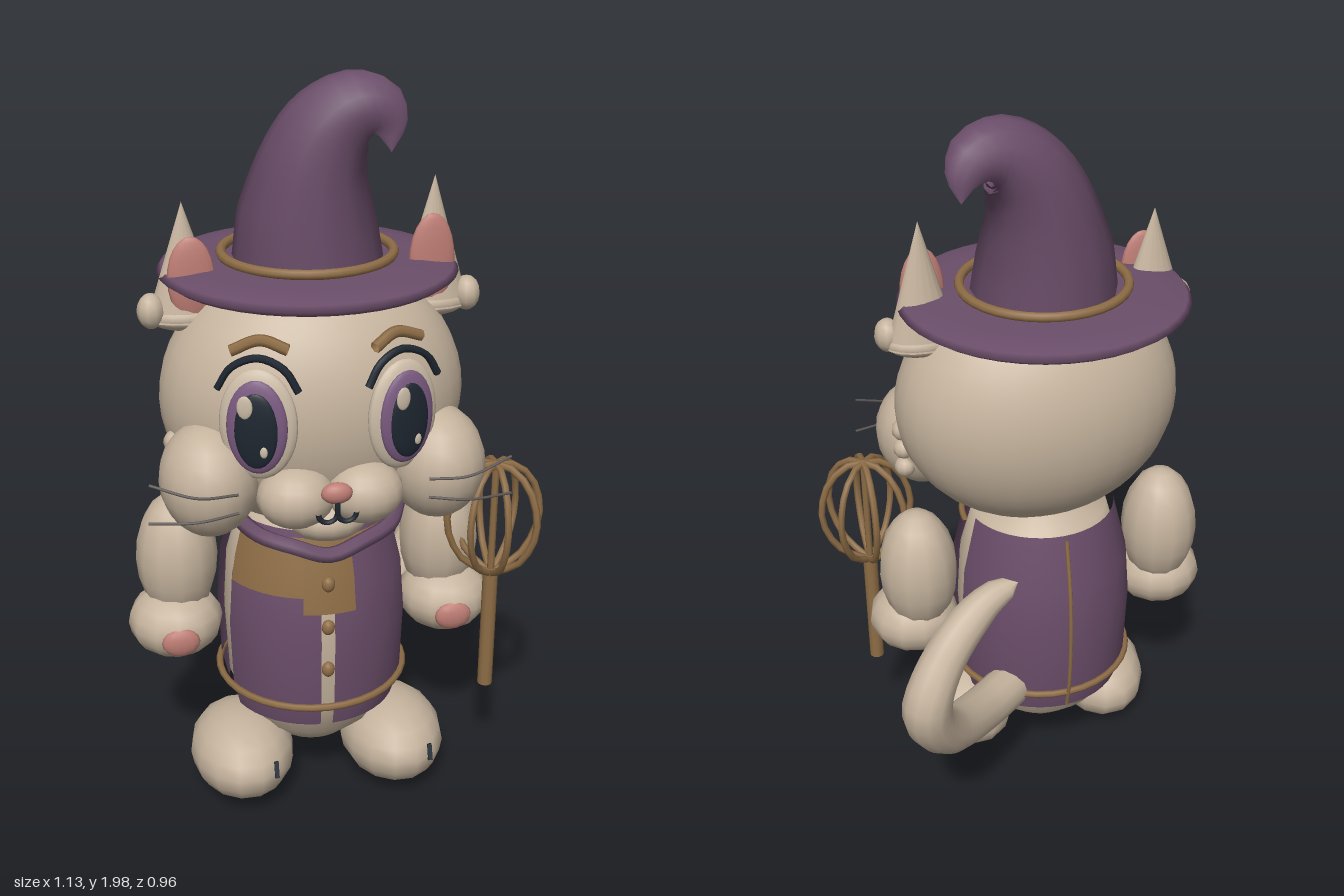
import * as THREE from 'three';

const mat = (name, color, side = THREE.FrontSide) => {
  const m = new THREE.MeshStandardMaterial({ color, side });
  m.name = name;
  return m;
};

export function createModel() {
  const fur = mat('fur beige', 0xc6b49e);
  const purple = mat('cloth purple', 0x6b4e6a, THREE.DoubleSide);
  const brown = mat('trim brown', 0x8e6d46, THREE.DoubleSide);
  const pink = mat('skin pink', 0xbd7d74);
  const dark = mat('dark ink', 0x1e2630);
  const iris = mat('iris violet', 0x7a5a80);
  const cream = mat('eye cream', 0xcdbda8);
  const grey = mat('whisker grey', 0x5c5552);

  const root = new THREE.Group();
  root.name = 'catWizard';
  const model = new THREE.Group();
  model.name = 'figure';
  model.position.x = -0.055;
  root.add(model);

  const add = (name, geo, material, pos = [0, 0, 0], parent = model) => {
    const m = new THREE.Mesh(geo, material);
    m.name = name;
    m.position.set(...pos);
    parent.add(m);
    return m;
  };
  const blob = (name, material, pos, size, parent = model, w = 16, h = 12) =>
    add(name, new THREE.SphereGeometry(1, w, h).scale(...size), material, pos, parent);
  const curve = pts => new THREE.CatmullRomCurve3(pts.map(p => new THREE.Vector3(...p)));
  const tube = (name, material, pts, r, parent = model, n = 16) =>
    add(name, new THREE.TubeGeometry(curve(pts), n, r, 6), material, [0, 0, 0], parent);
  const lathe = (name, material, prof, start = 0, len = Math.PI * 2, seg = 28, pos = [0, 0, 0.1]) =>
    add(name, new THREE.LatheGeometry(prof.map(p => new THREE.Vector2(...p)), seg, start, len), material, pos);

  // Tube whose radius follows [fraction, radius] stops
  const taperTube = (name, material, pts, stops, n, sides) => {
    const c = curve(pts);
    const geo = new THREE.TubeGeometry(c, n, 1, sides);
    const p = geo.attributes.position;
    const v = new THREE.Vector3();
    for (let i = 0; i <= n; i++) {
      const t = i / n;
      const k = Math.max(1, stops.findIndex(s => s[0] >= t - 1e-9));
      const [a, b] = [stops[k - 1], stops[k]];
      const r = THREE.MathUtils.lerp(a[1], b[1], (t - a[0]) / (b[0] - a[0]));
      const o = c.getPointAt(t);
      for (let j = 0; j <= sides; j++) {
        const q = i * (sides + 1) + j;
        v.fromBufferAttribute(p, q).sub(o).multiplyScalar(r).add(o);
        p.setXYZ(q, v.x, v.y, v.z);
      }
    }
    return add(name, geo, material);
  };

  // Head and muzzle
  blob('head', fur, [0, 1.19, 0.125], [0.4, 0.36, 0.29], model, 32, 24);
  blob('chin', fur, [0, 0.925, 0.33], [0.11, 0.065, 0.1]);
  blob('nose', pink, [0, 1.045, 0.465], [0.04, 0.028, 0.022]);
  tube('mouthLine', dark, [[0, 1.03, 0.474], [0, 1.01, 0.478], [0, 0.99, 0.476]], 0.007, model, 4);

  // Torso, open vest and trim
  const body = [[0.001, 0.12], [0.11, 0.145], [0.19, 0.22], [0.235, 0.34], [0.245, 0.55], [0.235, 0.7], [0.19, 0.86], [0.001, 0.93]];
  lathe('torso', fur, body);
  const vest = [[0.238, 0.28], [0.257, 0.36], [0.264, 0.55], [0.253, 0.7], [0.212, 0.865]];
  lathe('vestBack', purple, vest, 1.8, Math.PI * 2 - 3.6, 18);
  lathe('vestFrontLeft', purple, vest, 0.07, 1.1, 8);
  lathe('vestFrontRight', purple, vest, -1.17, 1.1, 8);
  lathe('bibSide', brown, [[0.262, 0.69], [0.25, 0.76], [0.225, 0.85]], -1.12, 0.87, 6);
  lathe('bibFront', brown, [[0.27, 0.645], [0.258, 0.74], [0.23, 0.85]], -0.25, 0.53, 6);
  add('belt', new THREE.TorusGeometry(0.262, 0.01, 6, 36).rotateX(Math.PI / 2), brown, [0, 0.35, 0.1]);
  const neckTrim = add('neckTrim', new THREE.TorusGeometry(0.225, 0.009, 6, 20, 1.3), brown, [0, 0.84, 0.1]);
  neckTrim.rotation.x = Math.PI / 2;
  tube('backSeam', brown, [[0, 0.86, -0.135], [0, 0.7, -0.17], [0, 0.55, -0.181], [0, 0.38, -0.172], [0, 0.3, -0.155]], 0.006);
  tube('collar', purple, [[-0.23, 0.88, 0.18], [-0.17, 0.865, 0.31], [-0.09, 0.85, 0.36], [0, 0.825, 0.375],
    [0.09, 0.85, 0.36], [0.17, 0.865, 0.31], [0.23, 0.88, 0.18]], 0.022, model, 28);
  for (const y of [0.73, 0.6, 0.47]) blob('button', brown, [0, y, 0.36], [0.018, 0.022, 0.015], model, 10, 8);

  // Mirrored parts
  for (const s of [1, -1]) {
    const side = s > 0 ? 'left' : 'right';
    blob(side + 'Cheek', fur, [s * 0.295, 1.035, 0.295], [0.128, 0.15, 0.148], model, 18, 12);
    blob(side + 'Muzzle', fur, [s * 0.088, 1.005, 0.38], [0.1, 0.082, 0.09]);
    add(side + 'Mouth', new THREE.TorusGeometry(0.024, 0.007, 6, 12, Math.PI).rotateZ(Math.PI), dark, [s * 0.024, 0.995, 0.474]);
    [1.1, 1.045, 0.99].forEach((y, i) =>
      blob(side + 'CheekTuft', fur, [s * 0.37, y, 0.2 - i * 0.006], [0.03, 0.03, 0.032], model, 10, 8));
    tube(side + 'WhiskerUpper', grey, [[s * 0.24, 1.05, 0.44], [s * 0.34, 1.055, 0.452], [s * 0.455, 1.09, 0.43]], 0.004);
    tube(side + 'WhiskerLower', grey, [[s * 0.24, 1.0, 0.44], [s * 0.34, 0.99, 0.452], [s * 0.46, 0.987, 0.43]], 0.004);

    // Eye, lash and brow
    const eye = new THREE.Group();
    eye.name = side + 'Eye';
    eye.position.set(s * 0.18, 1.21, 0.388);
    eye.rotation.y = s * 0.33;
    model.add(eye);
    blob('eyeWhite', cream, [0, 0, 0], [0.098, 0.145, 0.03], eye, 24, 16);
    blob('iris', iris, [0, 0, 0.02], [0.076, 0.122, 0.02], eye, 24, 16);
    blob('pupil', dark, [0, -0.005, 0.033], [0.054, 0.098, 0.013], eye, 24, 16);
    blob('glint', cream, [-0.025, 0.06, 0.043], [0.02, 0.03, 0.005], eye, 12, 8);
    blob('smallGlint', cream, [0.02, -0.055, 0.043], [0.01, 0.015, 0.004], eye, 10, 8);
    tube('lash', dark, [[-0.1, 0.09, 0.002], [-0.065, 0.145, 0.0], [0, 0.17, -0.005], [0.065, 0.145, 0.0], [0.1, 0.09, 0.002]], 0.01, eye);
    tube('brow', brown, [[-0.07, 0.18, -0.02], [0, 0.205, -0.035], [0.07, 0.185, -0.03]], 0.015, eye);

    // Ear with pink lining and tuft
    const h = s > 0 ? 0.34 : 0.3;
    add(side + 'Ear', new THREE.ConeGeometry(0.098, h, 16).scale(1, 1, 0.62), fur, [s * 0.322, 1.4 + h / 2, 0.11]);
    blob(side + 'EarBase', fur, [s * 0.322, 1.41, 0.11], [0.098, 0.04, 0.061]);
    blob(side + 'EarLining', pink, [s * 0.308, 1.4 + h * 0.38, 0.152], [0.06, h * 0.36, 0.018]);
    blob(side + 'EarTuft', fur, [s * 0.41, 1.43, 0.13], [0.036, 0.046, 0.04], model, 10, 8);

    // Arm, paw and foot
    blob(side + 'Arm', fur, [s * 0.37, 0.71, 0.085], [0.112, 0.19, 0.115], model, 12, 10);
    blob(side + 'Hand', fur, [s * 0.383, 0.53, 0.115], [0.13, 0.1, 0.13], model, 12, 10);
    blob(side + 'PawPad', pink, [s * 0.38, 0.52, 0.232], [0.052, 0.042, 0.02], model, 14, 8);
    const foot = blob(side + 'Foot', fur, [s * 0.217, 0.133, 0.19], [0.146, 0.122, 0.205], model, 14, 10);
    foot.rotation.x = -0.1;
    const toe = add(side + 'ToeMark', new THREE.BoxGeometry(0.012, 0.045, 0.012), dark, [s * 0.217 + 0.073, 0.163, 0.361]);
    toe.rotation.x = -0.4;
  }

  // Hat
  lathe('hatBrim', purple, [[0.001, 1.48], [0.25, 1.478], [0.365, 1.492], [0.388, 1.508], [0.375, 1.523], [0.3, 1.534], [0.15, 1.538]],
    0, Math.PI * 2, 40, [0, 0, 0.07]);
  taperTube('hatCone', purple, [[0, 1.5, 0.07], [0, 1.65, 0.07], [0.02, 1.78, 0.07], [0.06, 1.86, 0.07], [0.12, 1.905, 0.07],
    [0.18, 1.9, 0.065], [0.212, 1.86, 0.06], [0.22, 1.79, 0.06]],
  [[0, 0.2], [0.24, 0.178], [0.44, 0.14], [0.59, 0.117], [0.7, 0.097], [0.81, 0.077], [0.89, 0.05], [1, 0.001]], 28, 14);
  add('hatBand', new THREE.TorusGeometry(0.222, 0.013, 8, 36).rotateX(Math.PI / 2), brown, [0, 1.55, 0.07]);

  // Tail
  taperTube('tail', fur, [[0.13, 0.35, -0.06], [0.27, 0.37, -0.18], [0.41, 0.46, -0.33], [0.478, 0.62, -0.41],
    [0.41, 0.75, -0.37], [0.28, 0.85, -0.31], [0.19, 0.87, -0.285]],
  [[0, 0.001], [0.02, 0.065], [0.6, 0.066], [0.85, 0.052], [0.96, 0.036], [1, 0.001]], 30, 12);

  // Whisk
  const whisk = new THREE.Group();
  whisk.name = 'whisk';
  whisk.position.set(0.477, 0, 0.25);
  model.add(whisk);
  add('whiskHandle', new THREE.CylinderGeometry(0.021, 0.021, 0.37, 10), brown, [0, 0.485, 0], whisk);
  add('whiskCore', new THREE.CylinderGeometry(0.01, 0.01, 0.32, 6), brown, [0, 0.825, 0], whisk);
  for (let i = 0; i < 8; i++) {
    const wire = tube('whiskWire', brown, [[0.012, 0.66, 0], [0.085, 0.71, 0], [0.13, 0.82, 0], [0.105, 0.93, 0], [0.05, 0.98, 0], [0, 0.985, 0]], 0.01, whisk, 10);
    wire.rotation.y = i * Math.PI / 4;
  }
  return root;
}
